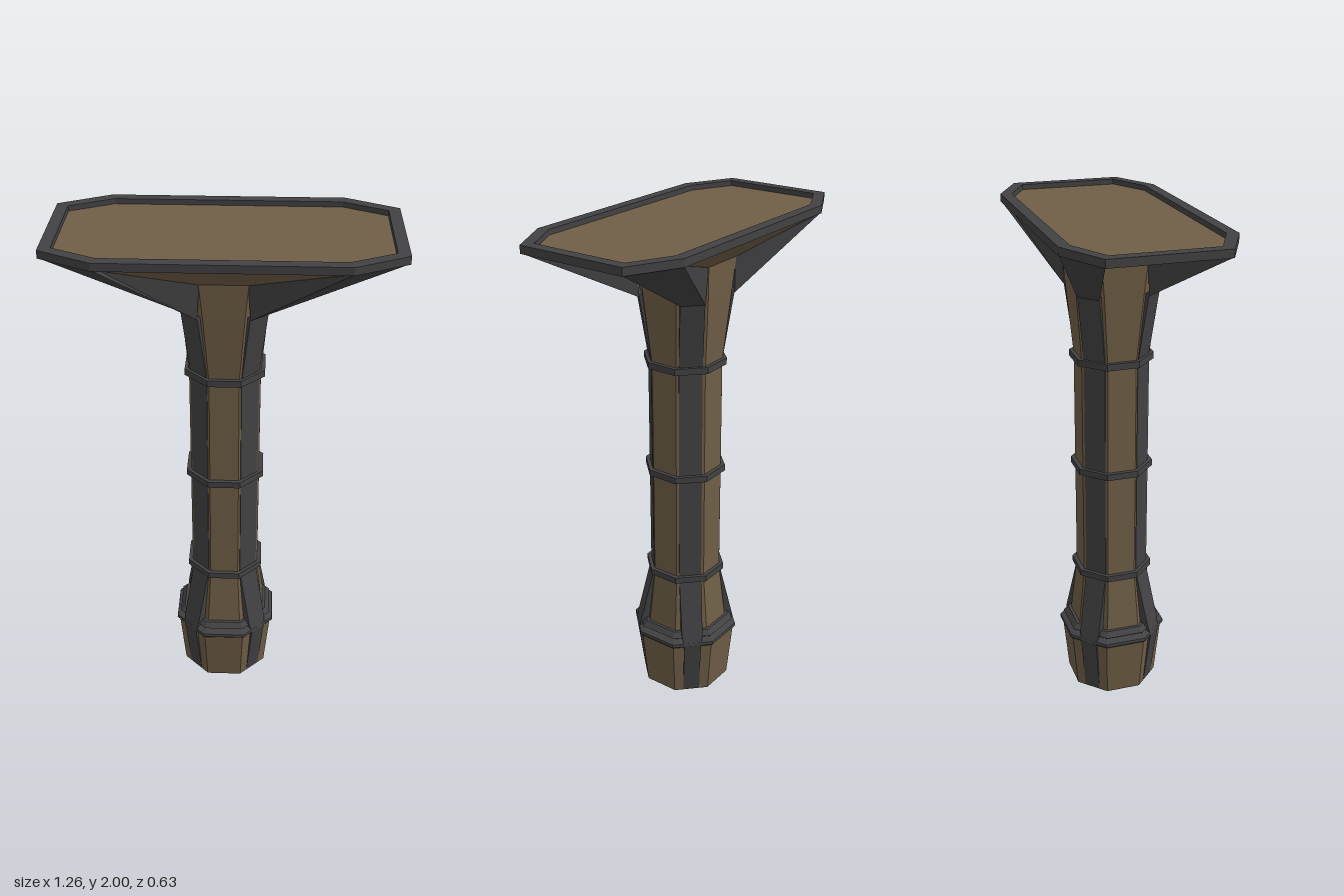
import * as THREE from 'three';

const wood = new THREE.MeshStandardMaterial({ color: 0x705f46, flatShading: true });
const iron = new THREE.MeshStandardMaterial({ color: 0x424244, flatShading: true });

// Skin a stack of equal-length point rings, optionally closing the ends.
function loft(name, rings, material, capBottom = true, capTop = true) {
  const out = [];
  const tri = (a, b, c) => out.push(...a, ...b, ...c);
  const n = rings[0].length;
  for (let r = 0; r < rings.length - 1; r++) {
    const p = rings[r], q = rings[r + 1];
    for (let i = 0; i < n; i++) {
      const j = (i + 1) % n;
      tri(p[i], q[i], p[j]);
      tri(p[j], q[i], q[j]);
    }
  }
  const first = rings[0], last = rings[rings.length - 1];
  for (let i = 1; i < n - 1; i++) {
    if (capBottom) tri(first[0], first[i], first[i + 1]);
    if (capTop) tri(last[0], last[i + 1], last[i]);
  }
  const geometry = new THREE.BufferGeometry();
  geometry.setAttribute('position', new THREE.Float32BufferAttribute(out, 3));
  geometry.computeVertexNormals();
  const mesh = new THREE.Mesh(geometry, material);
  mesh.name = name;
  return mesh;
}

// Chamfered rectangle: half sizes ax, az and flat-side half lengths bx, bz.
const chamfered = (y, ax, az, bx, bz) => [
  [ax, y, bz], [bx, y, az], [-bx, y, az], [-ax, y, bz],
  [-ax, y, -bz], [-bx, y, -az], [bx, y, -az], [ax, y, -bz],
];
const octagon = (y, a, b = a * 0.4142) => chamfered(y, a, a, b, b);

// Mirror a ring into another quadrant, keeping its winding.
function mirrored(ring, sx, sz) {
  const pts = ring.map(([x, y, z]) => [x * sx, y, z * sz]);
  return sx * sz < 0 ? pts.reverse() : pts;
}

export function createModel() {
  const model = new THREE.Group();

  // Foot and shaft
  model.add(loft('foot', [octagon(0.004, 0.172), octagon(0.25, 0.195)], wood));
  model.add(loft('footSole', [octagon(0, 0.17), octagon(0.006, 0.172)], iron));
  model.add(loft('shaft', [
    octagon(0.25, 0.165), octagon(0.3, 0.16), octagon(0.54, 0.135), octagon(1.455, 0.135),
    octagon(1.72, 0.158, 0.075), octagon(1.88, 0.17, 0.09),
  ], wood));

  // Collars on the foot
  model.add(loft('footCollar', [
    octagon(0.24, 0.198), octagon(0.248, 0.205), octagon(0.26, 0.203), octagon(0.275, 0.165),
  ], iron));
  model.add(loft('upperFootCollar', [
    octagon(0.275, 0.182), octagon(0.282, 0.19), octagon(0.302, 0.172),
  ], iron));

  // Bands round the shaft
  for (const y of [0.54, 1.0, 1.455]) {
    model.add(loft('band', [octagon(y - 0.013, 0.151), octagon(y + 0.013, 0.151)], iron));
  }

  // Ribs up the diagonals: height, near and far offset of the outer edges
  const ribProfile = [
    [0.004, 0.098, 0.146], [0.25, 0.12, 0.17], [0.29, 0.108, 0.169],
    [0.54, 0.065, 0.129], [1.455, 0.065, 0.129], [1.73, 0.095, 0.16],
  ];
  const ribRings = ribProfile.map(([y, u, v]) => [
    [v, y, u], [u, y, v], [u - 0.03, y, v - 0.03], [v - 0.03, y, u - 0.03],
  ]);
  // Brackets fanning from the ribs to the tray corners
  const bracketRings = [
    [[0.16, 1.72, 0.095], [0.095, 1.72, 0.16], [0.085, 1.86, 0.165], [0.165, 1.86, 0.085]],
    [[0.63, 1.972, 0.217], [0.435, 1.972, 0.315], [0.42, 1.972, 0.3], [0.6, 1.972, 0.207]],
  ];
  for (const sx of [1, -1]) {
    for (const sz of [1, -1]) {
      model.add(loft('rib', ribRings.map((r) => mirrored(r, sx, sz)), iron));
      model.add(loft('bracket', bracketRings.map((r) => mirrored(r, sx, sz)), iron));
    }
  }

  // Tray: sloping underside, rim and recessed panel
  model.add(loft('trayUnderside', [
    octagon(1.86, 0.168, 0.09), chamfered(1.972, 0.625, 0.31, 0.43, 0.214),
  ], wood, false, false));
  model.add(loft('trayRim', [
    chamfered(1.97, 0.59, 0.275, 0.425, 0.193),
    chamfered(1.97, 0.632, 0.317, 0.437, 0.218),
    chamfered(2.0, 0.632, 0.317, 0.437, 0.218),
    chamfered(2.0, 0.588, 0.274, 0.425, 0.193),
    chamfered(1.975, 0.588, 0.274, 0.425, 0.193),
  ], iron, false, false));
  model.add(loft('trayPanel', [
    chamfered(1.972, 0.59, 0.276, 0.426, 0.194), chamfered(1.98, 0.59, 0.276, 0.426, 0.194),
  ], wood));

  return model;
}
